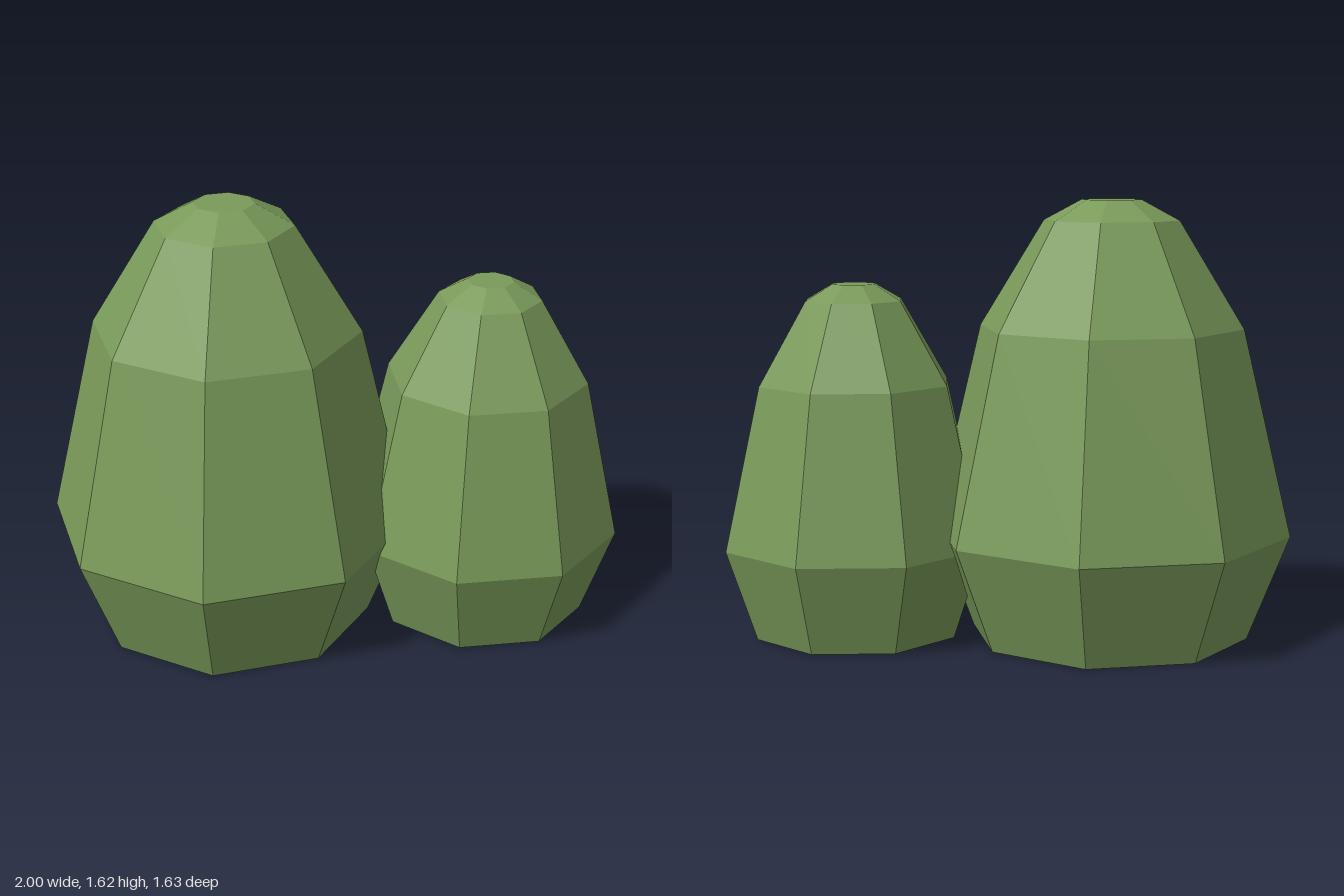
import * as THREE from 'three';

const leafMaterial = new THREE.MeshStandardMaterial({ color: 0x7a9a5a, flatShading: true });

// Eight-sided faceted bush, closed at top and bottom; rings are [radius, height]
function makeBush(name, rings, x, z, turn) {
  const top = rings[rings.length - 1][1];
  const profile = [[0, 0], ...rings, [0, top]].map(([r, y]) => new THREE.Vector2(r, y));
  const geometry = new THREE.LatheGeometry(profile, 8).toNonIndexed();
  geometry.computeVertexNormals();
  const bush = new THREE.Mesh(geometry, leafMaterial);
  bush.name = name;
  bush.position.set(x, 0, z);
  bush.rotation.y = turn;
  return bush;
}

export function createModel() {
  const group = new THREE.Group();
  group.name = 'bushes';

  // Tall bush at the back
  group.add(makeBush('tallBush',
    [[0.518, 0], [0.67, 0.392], [0.489, 1.15], [0.25, 1.54], [0.11, 1.615]],
    -0.335, -0.152, 0.127));

  // Short bush in front, pressed into the tall one
  group.add(makeBush('shortBush',
    [[0.393, 0], [0.507, 0.34], [0.37, 0.94], [0.188, 1.245], [0.084, 1.305]],
    0.493, 0.307, -0.022));

  return group;
}
